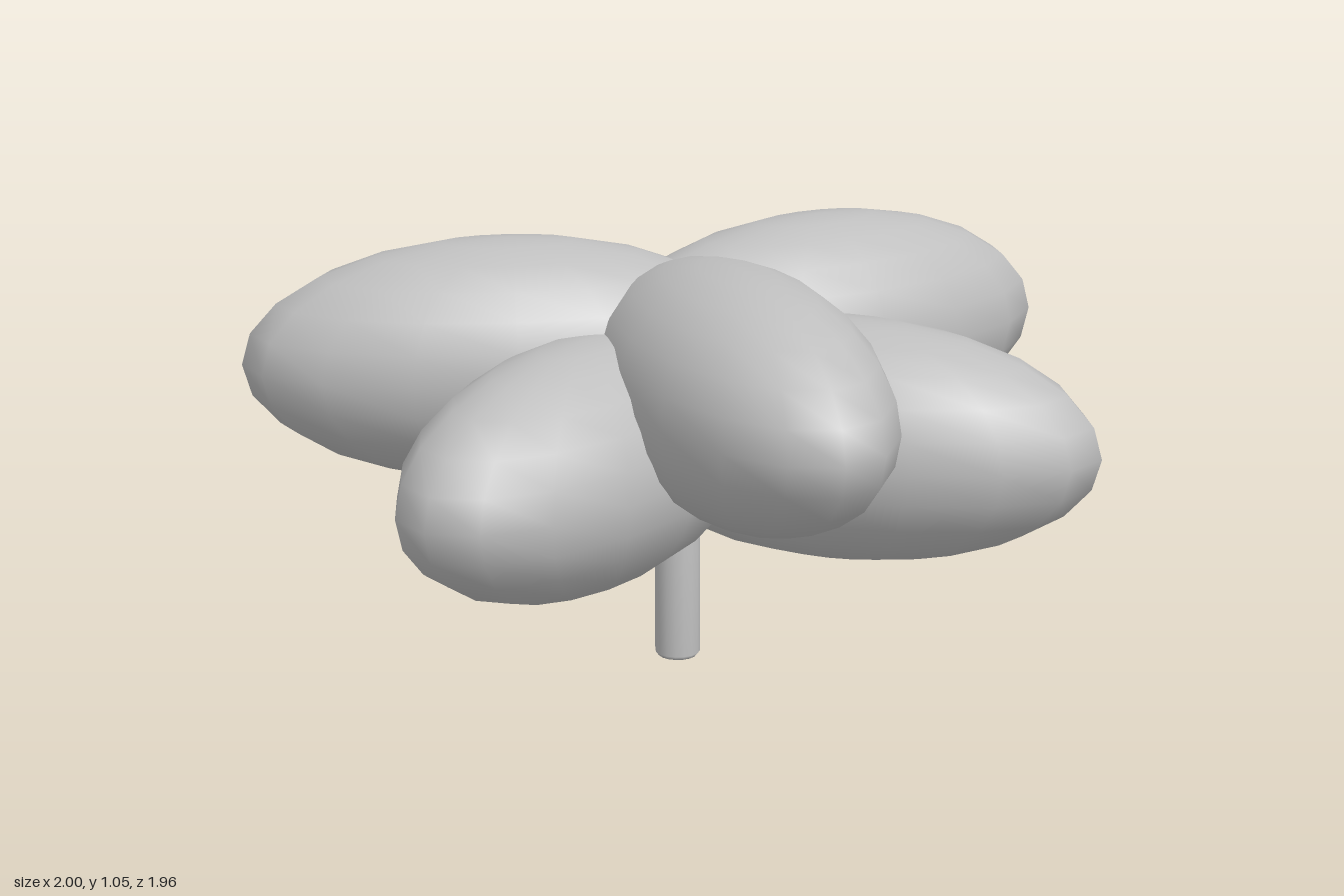
import * as THREE from 'three';

const COUNT = 7;
const CENTRE_Z = 0.05;

export function createModel() {
  const model = new THREE.Group();
  model.name = 'flower';
  const grey = new THREE.MeshStandardMaterial({ color: 0xbfbfbf });
  grey.name = 'soft grey';

  // One ellipsoid petal, long along x, its inner end reaching past the stem axis
  const petalGeometry = new THREE.SphereGeometry(1, 16, 12);
  petalGeometry.scale(0.626, 0.288, 0.293);
  petalGeometry.translate(0.4, 0, 0);

  // Petals step round the stem from the back, alternating upper and lower layers
  for (let i = 0; i < COUNT; i++) {
    const upper = i % 2 === 1;
    const petal = new THREE.Mesh(petalGeometry, grey);
    petal.name = (upper ? 'upperPetal' : 'lowerPetal') + (i + 1);
    petal.position.set(0, upper ? 0.765 : 0.592, CENTRE_Z);
    petal.rotation.y = Math.PI / 2 - (i * Math.PI * 2) / COUNT;
    model.add(petal);
  }

  // Short stem with a slightly rounded foot
  const profile = [[0, 0], [0.047, 0], [0.055, 0.01], [0.055, 0.5], [0, 0.5]];
  const stem = new THREE.Mesh(
    new THREE.LatheGeometry(profile.map(([r, y]) => new THREE.Vector2(r, y)), 16),
    grey
  );
  stem.name = 'stem';
  stem.position.z = CENTRE_Z;
  model.add(stem);

  return model;
}
